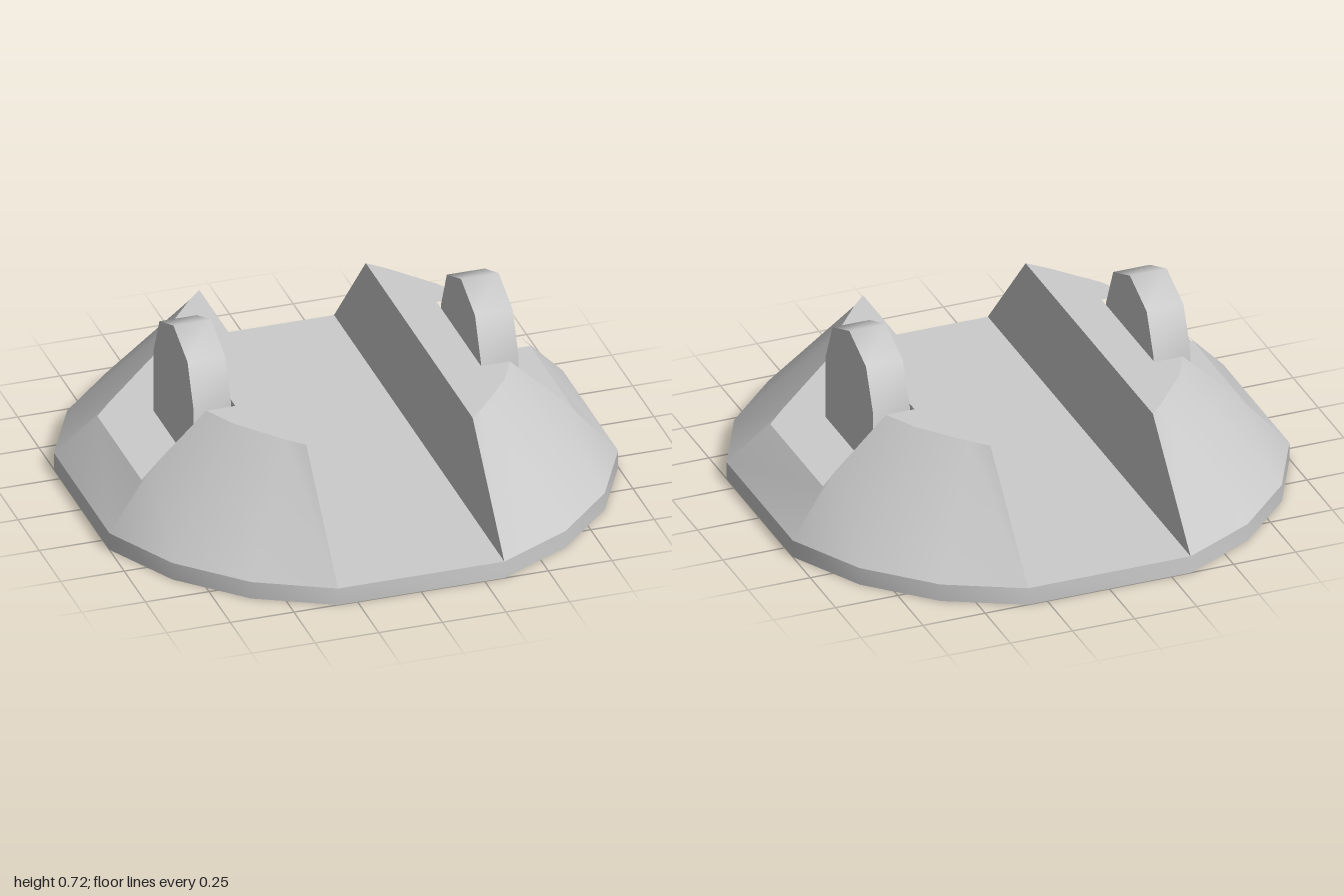
import * as THREE from 'three';
import { toCreasedNormals } from 'three/addons/utils/BufferGeometryUtils.js';

const PLATE = 0.07, FLOOR = 0.235, TOP = 0.487;
// quarter outline of the base, from the groove edge round to the side
const RIM = [[0.327, 1], [0.618, 0.85], [0.85, 0.618], [1, 0.327]];
const material = () => new THREE.MeshStandardMaterial({ color: 0xcccccc });

function mesh(name, geometry, crease) {
  const m = new THREE.Mesh(toCreasedNormals(geometry, crease), material());
  m.name = name;
  return m;
}

// extrude a closed [x, y] outline
function extrude(points, depth) {
  const shape = new THREE.Shape(points.map(([x, y]) => new THREE.Vector2(x, y)));
  return new THREE.ExtrudeGeometry(shape, { depth, bevelEnabled: false });
}

// sloped block beside the groove, with a rectangular pocket cut in its outer face
function shoulderGeometry(side) {
  const B = RIM.map(([x, z]) => [x, PLATE, z]);
  const T = [[0.327, TOP, 0.628], [0.388, TOP, 0.565], [0.532, TOP, 0.388]];
  const P = [0.597, TOP, 0.26], Q = [0.804, 0.287, 0.26], R = [0.851, FLOOR, 0.26];
  const W = [0.483, TOP, 0.26], F = [0.483, FLOOR, 0.26];
  const back = ([x, y, z]) => [x, y, -z];
  const positions = [];

  const face = (points, sx, sz) => {
    for (let i = 1; i < points.length - 1; i++) {
      const tri = [points[0], points[i], points[i + 1]];
      if (sx * sz < 0) tri.reverse();
      for (const [x, y, z] of tri) positions.push(x * sx, y, z * sz);
    }
  };

  // faces repeated at front and back
  const paired = [
    [B[0], B[1], T[1], T[0]],
    [B[1], B[2], T[2], T[1]],
    [Q, P, T[2], B[2], B[3]],
    [B[3], R, Q],
    [W, T[0], T[1], T[2], P],
    [F, W, P, Q, R].reverse(),
  ];
  // faces spanning front to back
  const spanning = [
    [B[3], back(B[3]), back(R), R],
    [T[0], W, back(W), back(T[0])],
    [F, R, back(R), back(F)],
    [W, F, back(F), back(W)],
    [B[0], T[0], back(T[0]), back(B[0])],
  ];
  for (const sz of [1, -1]) paired.forEach((f) => face(f, side, sz));
  spanning.forEach((f) => face(f, side, 1));

  const g = new THREE.BufferGeometry();
  g.setAttribute('position', new THREE.Float32BufferAttribute(positions, 3));
  g.computeVertexNormals();
  return g;
}

export function createModel() {
  const model = new THREE.Group();
  model.name = 'groovedMount';

  // faceted round base plate
  const half = [...RIM, ...RIM.map(([x, z]) => [x, -z]).reverse()];
  const outline = [...half, ...half.map(([x, z]) => [-x, -z])];
  model.add(mesh('basePlate', extrude(outline, PLATE).rotateX(-Math.PI / 2), 0.5));

  // upright lug profile in the z-y plane
  const lug = [[-0.234, FLOOR], [0.234, FLOOR], [0.234, 0.49],
    [0.165, 0.652], [0, 0.72], [-0.165, 0.652], [-0.234, 0.49]];

  for (const [name, side] of [['left', 1], ['right', -1]]) {
    model.add(mesh(name + 'Shoulder', shoulderGeometry(side), 0.6));
    const lugGeometry = extrude(lug, 0.148).translate(0, 0, -0.074).rotateY(Math.PI / 2);
    const lugMesh = mesh(name + 'Lug', lugGeometry, 1);
    lugMesh.position.x = side * 0.565;
    model.add(lugMesh);
  }
  return model;
}
